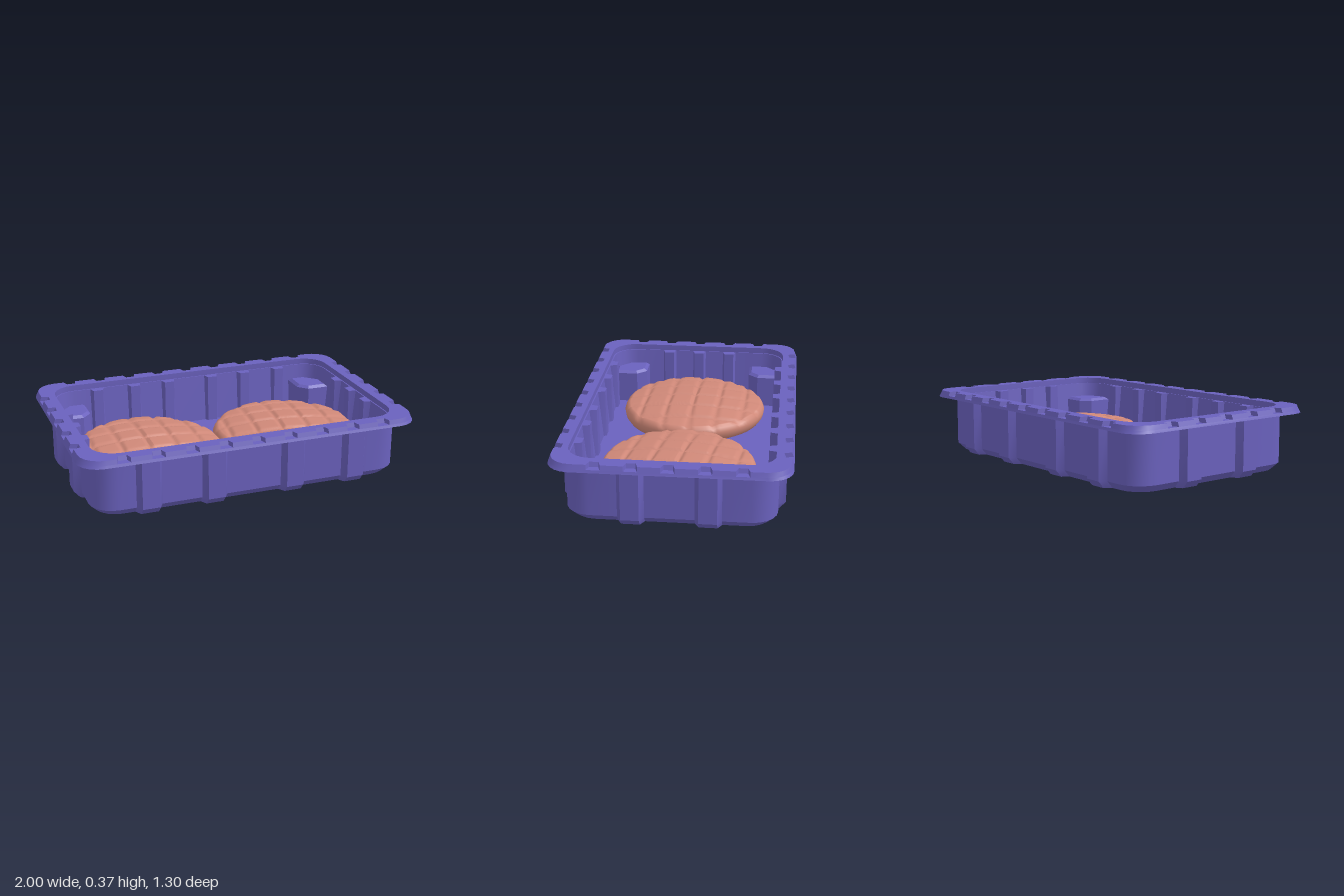
import * as THREE from 'three';
import { toCreasedNormals } from 'three/addons/utils/BufferGeometryUtils.js';

// Rounded rectangle with trapezoid bumps (depth > 0) or notches (depth < 0) along its sides
function outline(hx, hz, r, f = null) {
  const pts = [];
  for (let k = 0; k < 4; k++) {
    const a = k * Math.PI / 2, c = Math.round(Math.cos(a)), s = Math.round(Math.sin(a));
    const [n, t] = k % 2 ? [hz, hx] : [hx, hz];
    const put = (out, along) => pts.push(new THREE.Vector2(c * out - s * along, s * out + c * along));
    for (const p of f ? (k % 2 ? f.alongX : f.alongZ) : []) {
      put(n, p - f.base);
      put(n + f.depth, p - f.tip);
      put(n + f.depth, p + f.tip);
      put(n, p + f.base);
    }
    for (let i = 0; i <= 5; i++) {
      const th = i / 5 * Math.PI / 2;
      put(n - r + r * Math.cos(th), t - r + r * Math.sin(th));
    }
  }
  return pts;
}

// Wall through outlines of equal length; bottom to top faces out, top to bottom faces in
function loft(rings) {
  const pos = [];
  for (let j = 0; j + 1 < rings.length; j++) {
    const [p, y0] = rings[j], [q, y1] = rings[j + 1];
    for (let i = 0; i < p.length; i++) {
      const k = (i + 1) % p.length;
      const a = [p[i].x, y0, -p[i].y], b = [p[k].x, y0, -p[k].y];
      const c = [q[k].x, y1, -q[k].y], d = [q[i].x, y1, -q[i].y];
      pos.push(...a, ...b, ...c, ...a, ...c, ...d);
    }
  }
  const g = new THREE.BufferGeometry();
  g.setAttribute('position', new THREE.Float32BufferAttribute(pos, 3));
  g.computeVertexNormals();
  return toCreasedNormals(g, 0.5);
}

// Flat face at a height, with an optional hole
function plate(outer, hole, y, down = false) {
  const s = new THREE.Shape(outer);
  if (hole) s.holes.push(new THREE.Path(hole));
  return new THREE.ShapeGeometry(s).rotateX(down ? Math.PI / 2 : -Math.PI / 2).translate(0, y, 0);
}

// Round patty with a grid of pressed grooves
function pattyGeometry(turn, shift) {
  const profile = [[0.38, 0.04], [0.42, 0.06], [0.44, 0.09], [0.445, 0.12], [0.435, 0.145]]
    .map(([x, y]) => new THREE.Vector2(x, y));
  for (let i = 0; i <= 42; i++) {
    const r = 0.42 * (1 - i / 42);
    profile.push(new THREE.Vector2(r, 0.16 + 0.04 * (1 - (r / 0.42) ** 2)));
  }
  const g = new THREE.LatheGeometry(profile, 120), p = g.attributes.position;
  const cell = 0.157, c = Math.cos(turn), s = Math.sin(turn);
  const groove = v => {
    const u = v / cell, d = Math.abs(u - Math.round(u)) * cell;
    return Math.max(0, 1 - d / 0.022);
  };
  for (let i = 0; i < p.count; i++) {
    const x = p.getX(i), y = p.getY(i), z = p.getZ(i);
    const wob = 1 + 0.012 * Math.sin(3 * Math.atan2(z, x) + turn * 9);
    if (y > 0.14) {
      const cut = Math.max(groove(x * c - z * s + shift), groove(x * s + z * c + shift * 0.4));
      p.setY(i, y - 0.014 * cut);
    }
    p.setX(i, x * (x * x + z * z > 0.15 ? Math.min(wob, 1) : 1));
    p.setZ(i, z * wob);
  }
  g.computeVertexNormals();
  return g;
}

export function createModel() {
  const root = new THREE.Group();
  const plastic = new THREE.MeshStandardMaterial({ color: 0x6a61bd });
  plastic.name = 'purple plastic';
  const meat = new THREE.MeshStandardMaterial({ color: 0xcf8878 });
  meat.name = 'pink meat';
  const tray = new THREE.Group();
  tray.name = 'tray';
  root.add(tray);
  const add = (name, geo, mat = plastic, parent = tray) => {
    const m = new THREE.Mesh(geo, mat);
    m.name = name;
    parent.add(m);
    return m;
  };

  // Outer wall with ribs and a chamfered foot
  const ribs = { alongX: [-0.612, -0.235, 0.235, 0.612], alongZ: [-0.208, 0.208], base: 0.073, tip: 0.05, depth: 0.04 };
  const foot = outline(0.885, 0.54, 0.13, ribs);
  const wall = outline(0.92, 0.575, 0.14, ribs);
  add('outerWall', loft([[foot, 0], [wall, 0.04], [wall, 0.335]]));
  add('underside', plate(foot, null, 0, true));

  // Inner wall with slim pillars, tapering to the floor
  const pillars = { alongX: [-0.61, -0.37, -0.145, 0.145, 0.37, 0.61], alongZ: [-0.2, 0, 0.2], base: 0.042, tip: 0.03 };
  const mouth = outline(0.9, 0.562, 0.14);
  const innerTop = outline(0.893, 0.555, 0.135, { ...pillars, depth: -0.042 });
  const innerFloor = outline(0.868, 0.528, 0.12, { ...pillars, depth: -0.017 });
  add('innerLip', loft([[mouth, 0.37], [mouth, 0.335]]));
  add('pillarLedge', plate(mouth, innerTop, 0.335));
  add('innerWall', loft([[innerTop, 0.335], [innerFloor, 0.04]]));
  add('floor', plate(innerFloor, null, 0.04));

  // Flange with notched upper edge
  const notches = {
    alongX: Array.from({ length: 9 }, (_, i) => (i - 4) * 0.191),
    alongZ: Array.from({ length: 5 }, (_, i) => (i - 2) * 0.195),
    base: 0.037, tip: 0.025, depth: -0.04,
  };
  const rimLow = outline(1, 0.652, 0.13), rimMid = outline(0.994, 0.646, 0.13);
  const notchLow = outline(0.994, 0.646, 0.13, notches);
  const notchTop = outline(0.984, 0.637, 0.125, notches);
  add('flangeEdge', loft([[rimLow, 0.33], [rimMid, 0.345]]));
  add('flangeUnderside', plate(rimLow, mouth, 0.33, true));
  add('notchFloor', plate(rimMid, outline(0.93, 0.59, 0.14), 0.345));
  add('notchedEdge', loft([[notchLow, 0.345], [notchTop, 0.37]]));
  add('flangeTop', plate(notchTop, mouth, 0.37));

  // Raised corner pads
  const pad = [[0.695, 0.545], [0.695, 0.4], [0.75, 0.34], [0.885, 0.34], [0.885, 0.46], [0.8, 0.545]];
  for (const sx of [-1, 1]) for (const sz of [-1, 1]) {
    const shape = new THREE.Shape(pad.map(([x, z]) => new THREE.Vector2(x * sx, z * sz)));
    const geo = new THREE.ExtrudeGeometry(shape, {
      depth: 0.195, bevelThickness: 0.015, bevelSize: 0.018, bevelOffset: -0.018, bevelSegments: 1,
    });
    add('cornerPad', geo.rotateX(-Math.PI / 2).translate(0, 0.04, 0));
  }

  // Two patties side by side
  add('rightPatty', pattyGeometry(-0.03, 0.02), meat, root).position.set(-0.445, 0, -0.005);
  add('leftPatty', pattyGeometry(-0.13, 0.05), meat, root).position.set(0.435, 0, 0.003);
  return root;
}
